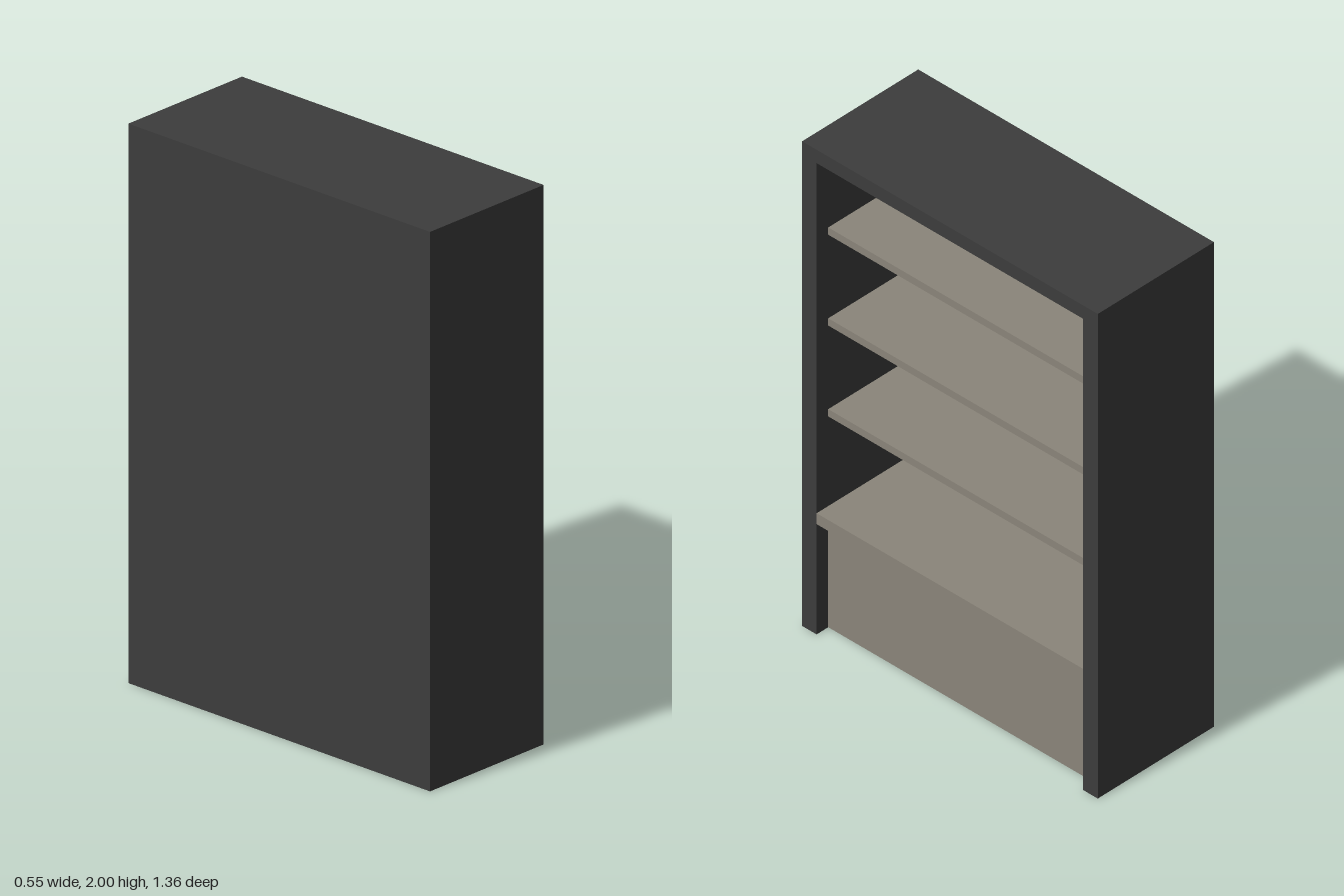
import * as THREE from 'three';

const W = 0.275;       // half depth of the case along x (open side faces +x)
const Z = 0.68;        // half length of the case
const IN = 0.613;      // half length of the inside
const BACK = -0.15;    // inner back face
const RECESS = 0.22;   // front of the shelves and the kick board

export function createModel() {
  const group = new THREE.Group();
  const dark = new THREE.MeshStandardMaterial({ color: 0x3c3c3c });
  const beige = new THREE.MeshStandardMaterial({ color: 0x8a857a });

  const add = (name, geometry, material) => {
    const mesh = new THREE.Mesh(geometry, material);
    mesh.name = name;
    group.add(mesh);
  };

  // Box between two x and two y limits, spanning the inside length
  const insideBox = (name, x0, x1, y0, y1, material) => {
    const g = new THREE.BoxGeometry(x1 - x0, y1 - y0, IN * 2);
    g.translate((x0 + x1) / 2, (y0 + y1) / 2, 0);
    add(name, g, material);
  };

  // Side walls and top as one arch, extruded through the depth
  const arch = new THREE.Shape([
    [-Z, 0], [-IN, 0], [-IN, 1.945], [IN, 1.945], [IN, 0], [Z, 0], [Z, 2], [-Z, 2],
  ].map(([a, b]) => new THREE.Vector2(a, b)));
  const caseGeometry = new THREE.ExtrudeGeometry(arch, { depth: W * 2, bevelEnabled: false });
  caseGeometry.rotateY(Math.PI / 2);
  caseGeometry.translate(-W, 0, 0);
  add('sidesAndTop', caseGeometry, dark);

  // Back and its lining
  insideBox('back', -W, BACK - 0.01, 0, 1.945, dark);
  insideBox('backLining', BACK - 0.01, BACK, 0, 1.945, beige);

  // Plinth with recessed kick board and the flush bottom shelf
  insideBox('plinth', BACK, RECESS - 0.005, 0, 0.455, dark);
  insideBox('kickBoard', RECESS - 0.005, RECESS, 0, 0.455, beige);
  insideBox('bottomShelf', BACK, W, 0.455, 0.5, beige);

  // Wedge shelves: level top, underside falling toward the back
  for (const top of [0.9, 1.275, 1.65]) {
    const wedge = new THREE.Shape([
      [BACK, top - 0.1], [RECESS, top - 0.03], [RECESS, top], [BACK, top],
    ].map(([a, b]) => new THREE.Vector2(a, b)));
    const g = new THREE.ExtrudeGeometry(wedge, { depth: IN * 2, bevelEnabled: false });
    g.translate(0, 0, -IN);
    add('shelf', g, beige);
  }

  return group;
}
